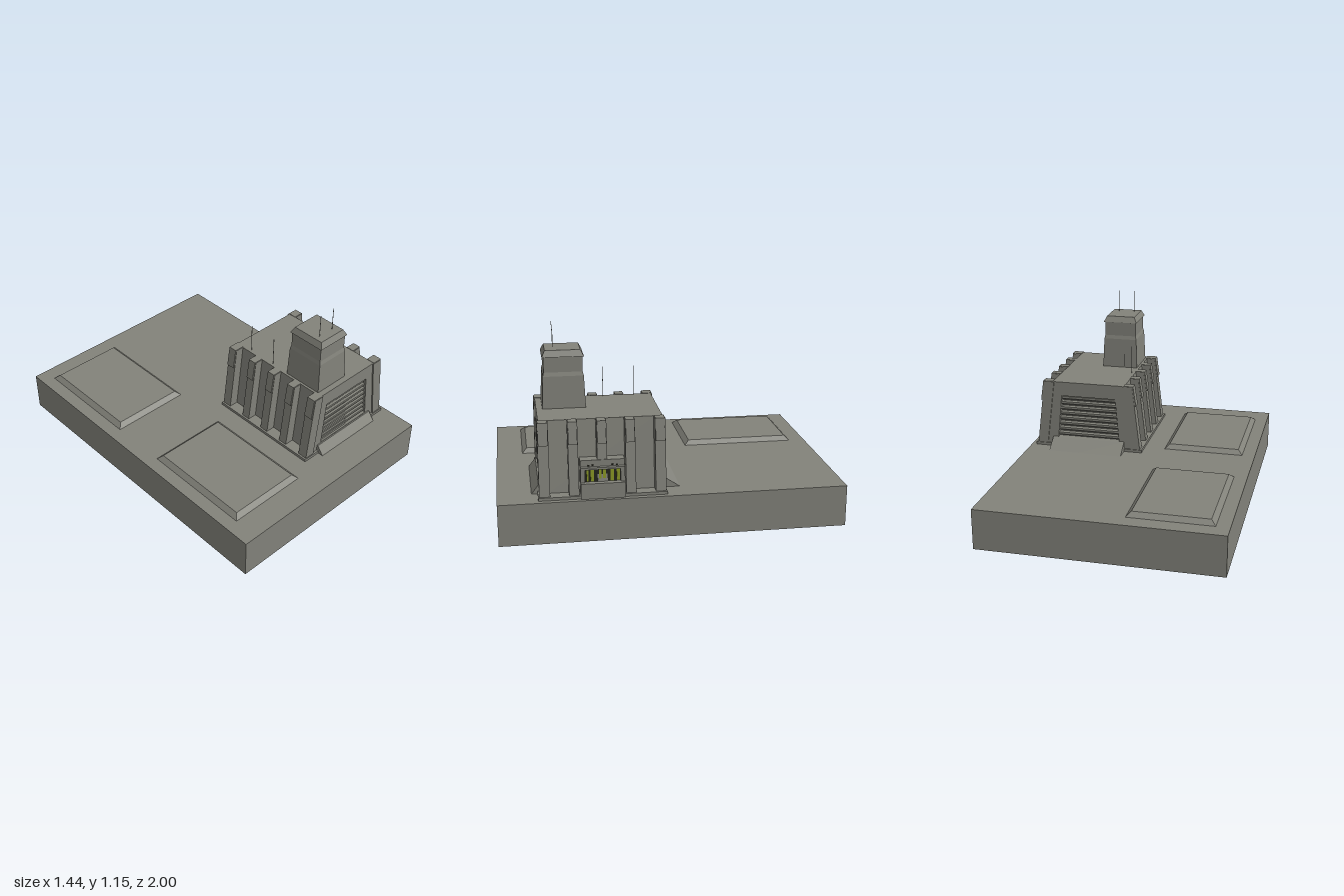
import * as THREE from 'three';

const mat = (name, color) => {
  const m = new THREE.MeshStandardMaterial({ color, side: THREE.DoubleSide });
  m.name = name;
  return m;
};

// Rectangular shell lofted through levels [y, x0, x1, z0, z1]; capped on top, open below.
function loftGeometry(levels) {
  const pos = [];
  const ring = ([y, x0, x1, z0, z1]) => [[x0, y, z1], [x1, y, z1], [x1, y, z0], [x0, y, z0]];
  const quad = (a, b, c, d) => pos.push(...a, ...b, ...c, ...a, ...c, ...d);
  for (let i = 0; i < levels.length - 1; i++) {
    const lo = ring(levels[i]), hi = ring(levels[i + 1]);
    for (let k = 0; k < 4; k++) {
      const n = (k + 1) % 4;
      quad(lo[k], lo[n], hi[n], hi[k]);
    }
  }
  quad(...ring(levels[levels.length - 1]));
  const g = new THREE.BufferGeometry();
  g.setAttribute('position', new THREE.Float32BufferAttribute(pos, 3));
  g.computeVertexNormals();
  return g;
}

export function createModel() {
  const root = new THREE.Group();
  root.name = 'industrialBuilding';
  const concrete = mat('concrete grey', 0x82827a);
  const glow = mat('olive window', 0x8c9a26);
  const dark = mat('dark glass', 0x24251c);

  const add = (name, geometry, material = concrete) => {
    const m = new THREE.Mesh(geometry, material);
    m.name = name;
    root.add(m);
    return m;
  };
  const loft = (name, levels, material) => add(name, loftGeometry(levels), material);
  const block = (name, x0, x1, y0, y1, z0, z1, material) => {
    const m = add(name, new THREE.BoxGeometry(x1 - x0, y1 - y0, z1 - z0), material);
    m.position.set((x0 + x1) / 2, (y0 + y1) / 2, (z0 + z1) / 2);
    return m;
  };

  // Hollow ground slab
  loft('groundSlab', [[0, -0.72, 0.72, -1, 1], [0.245, -0.72, 0.72, -1, 1]]);

  // Two chamfered landing pads with skirts reaching under the slab
  for (const [z0, z1] of [[-0.9, -0.205], [0.15, 0.84]]) {
    const c = 0.028;
    loft('landingPad', [
      [0.09, -0.64, -0.14, z0, z1],
      [0.245, -0.64, -0.14, z0, z1],
      [0.272, -0.64 + c, -0.14 - c, z0 + c, z1 - c],
    ]);
  }

  // Plinth and tapered core
  const CX = 0.34, Y0 = 0.262, Y1 = 0.676;
  const mirrorX = (x) => 2 * CX - x;
  block('plinth', -0.01, 0.69, 0.235, Y0, 0.045, 0.772);
  loft('buildingCore', [[Y0, 0.06, mirrorX(0.06), 0.10, 0.715], [Y1, 0.105, mirrorX(0.105), 0.10, 0.715]]);

  // End walls with a trapezoid opening
  const wall = new THREE.Shape([
    [0.06, Y0], [mirrorX(0.06), Y0], [mirrorX(0.105), Y1], [0.105, Y1],
  ].map((p) => new THREE.Vector2(...p)));
  const L0 = 0.305, L1 = 0.585;
  const openX = (y) => 0.138 + (0.026 * (y - L0)) / (L1 - L0);
  wall.holes.push(new THREE.Path([
    [openX(L0), L0], [openX(L1), L1], [mirrorX(openX(L1)), L1], [mirrorX(openX(L0)), L0],
  ].map((p) => new THREE.Vector2(...p))));
  const wallGeometry = new THREE.ExtrudeGeometry(wall, { depth: 0.043, bevelEnabled: false });
  add('frontWall', wallGeometry).position.z = 0.715;
  add('backWall', wallGeometry).position.z = 0.057;

  // Louvre slats: upright face with an inward-sloping underside
  const pitch = (L1 - L0) / 8;
  for (let i = 0; i < 8; i++) {
    const y = L0 + i * pitch;
    const slat = (sign) => [[0, 0.722], [0.016, 0.75], [0.029, 0.75]].map(([dy, z]) => {
      const x = openX(y + dy);
      const zs = sign > 0 ? [0.714, z] : [0.815 - z, 0.101];
      return [y + dy, x, mirrorX(x), ...zs];
    });
    loft('frontLouvre', slat(1));
    loft('backLouvre', slat(-1));
  }

  // Sloping aprons under the louvres
  loft('frontApron', [[0.2, 0.105, 0.575, 0.72, 0.84], [0.3, 0.105, 0.575, 0.72, 0.766]]);
  loft('backApron', [[0.2, 0.105, 0.575, 0.09, -0.112].map((v, i, a) => (i === 3 ? a[4] : i === 4 ? a[3] : v)),
    [0.306, 0.105, 0.575, 0.048, 0.09]]);

  // Leaning pilasters with thicker caps, mirrored on both sides
  const outer = (y) => 0.002 + (0.05 * (y - Y0)) / (Y1 - Y0);
  const inner = (y) => outer(y) + 0.065;
  const pilasterZ = [[0.05, 0.11], [0.222, 0.278], [0.382, 0.438], [0.543, 0.599], [0.705, 0.766]];
  const sided = (name, levels) => {
    loft(name, levels);
    loft(name, levels.map(([y, a, b, z0, z1]) => [y, mirrorX(b), mirrorX(a), z0, z1]));
  };
  for (const [z0, z1] of pilasterZ) {
    sided('pilaster', [Y0, Y1].map((y) => [y, outer(y), inner(y), z0, z1]));
    sided('pilasterCap', [
      [0.55, outer(0.55), 0.08, z0 + 0.003, z1 - 0.003],
      [0.552, outer(0.55) - 0.009, 0.08, z0 + 0.003, z1 - 0.003],
      [0.679, outer(Y1) - 0.006, 0.108, z0 + 0.003, z1 - 0.003],
    ]);
  }

  // Tower running down through the building, with a flared cap
  const TX = 0.235, TZ = 0.596;
  const square = (y, hx, hz) => [y, TX - hx, TX + hx, TZ - hz, TZ + hz];
  loft('tower', [
    square(0.13, 0.15, 0.161), square(0.675, 0.115, 0.126), square(0.865, 0.108, 0.118),
    square(0.888, 0.102, 0.112), square(0.98, 0.102, 0.112),
  ]);
  loft('towerCap', [square(0.976, 0.1, 0.11), square(0.978, 0.11, 0.121), square(1.015, 0.092, 0.102)]);

  // Antennas on tower and roof
  for (const x of [0.18, 0.285]) block('towerAntenna', x - 0.0015, x + 0.0015, 1.01, 1.155, 0.649, 0.651);
  for (const z of [0.165, 0.35]) block('roofAntenna', 0.124, 0.126, 0.67, 0.857, z - 0.0015, z + 0.0015);

  // Entrance on the left side: porch, jambs, lintel and backing
  block('porch', 0.6, 0.70, 0.245, 0.335, 0.285, 0.535);
  block('entranceBody', 0.58, 0.66, 0.33, 0.46, 0.285, 0.535);
  for (const z of [0.285, 0.51]) block('entranceJamb', 0.6, 0.68, 0.335, 0.42, z, z + 0.025);
  block('entranceLintel', 0.6, 0.682, 0.41, 0.422, 0.285, 0.535);

  // Striped window and small lamps
  block('windowGlass', 0.66, 0.664, 0.335, 0.41, 0.31, 0.51, dark);
  for (const [z, w] of [[0.494, 0.01], [0.468, 0.018], [0.424, 0.014], [0.4, 0.016], [0.356, 0.02], [0.322, 0.018]]) {
    block('windowStripe', 0.663, 0.667, 0.337, 0.408, z - w / 2, z + w / 2, glow);
  }
  for (const z of [0.487, 0.465, 0.353, 0.328]) {
    block('entranceLamp', 0.658, 0.664, 0.426, 0.434, z - 0.005, z + 0.005, dark);
  }
  return root;
}
